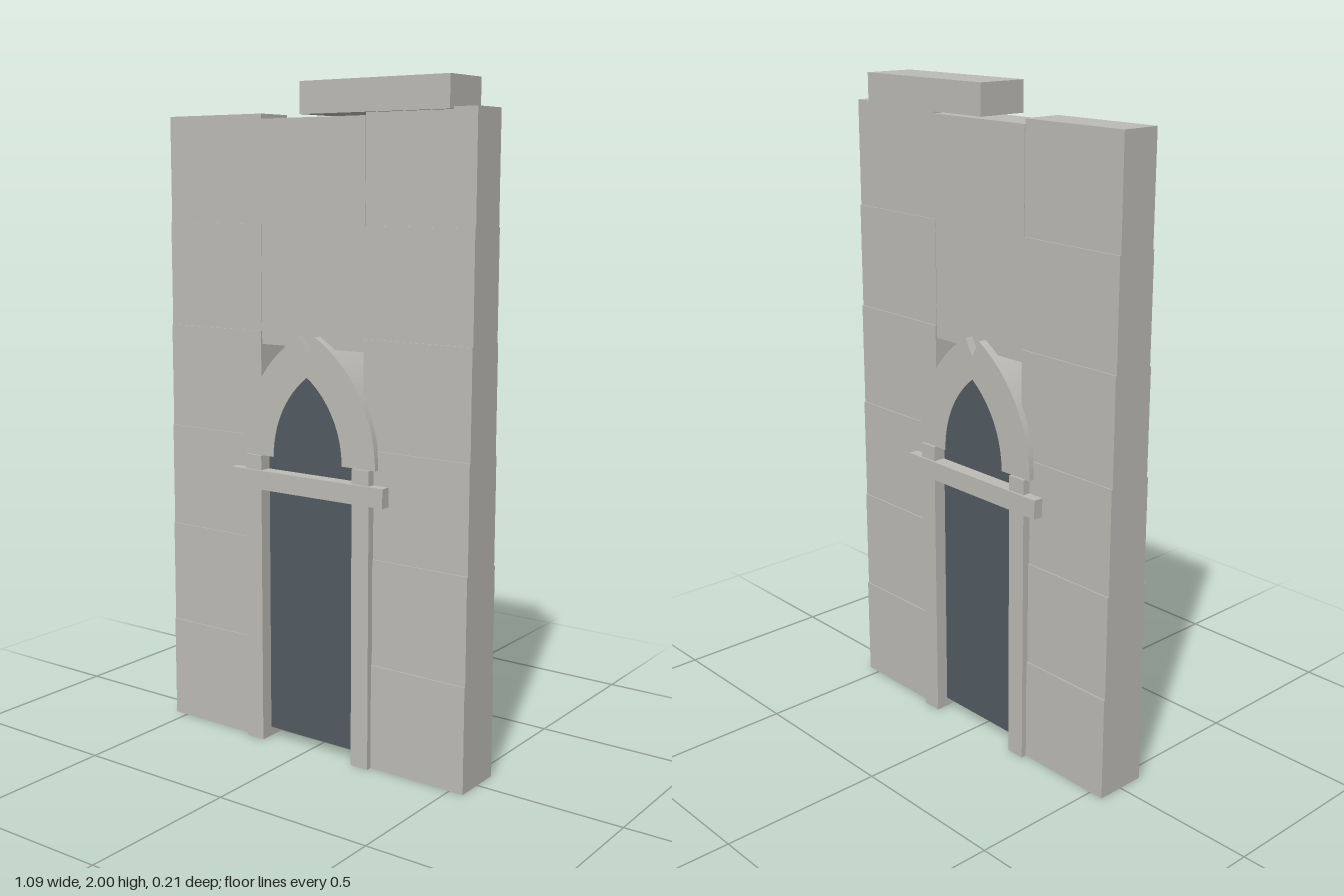
import * as THREE from 'three';

const stone = new THREE.MeshStandardMaterial({ color: 0xbdbbb5 });
stone.name = 'stone';
const slate = new THREE.MeshStandardMaterial({ color: 0x525b62 });
slate.name = 'darkSlate';

export function createModel() {
  const model = new THREE.Group();
  model.name = 'archedDoorway';

  const add = (name, geometry, material) => {
    const mesh = new THREE.Mesh(geometry, material);
    mesh.name = name;
    model.add(mesh);
    return mesh;
  };
  // Box given by its x and y limits and its half depth
  const block = (name, x0, x1, y0, y1, halfZ, material = stone) => {
    const mesh = add(name, new THREE.BoxGeometry(x1 - x0, y1 - y0, halfZ * 2), material);
    mesh.position.set((x0 + x1) / 2, (y0 + y1) / 2, 0);
  };
  // Shape extruded evenly to both sides of z = 0
  const slab = (name, shape, halfZ, material = stone) => {
    const geometry = new THREE.ExtrudeGeometry(shape, {
      depth: halfZ * 2, bevelEnabled: false, curveSegments: 12,
    });
    geometry.translate(0, 0, -halfZ);
    add(name, geometry, material);
  };

  // Wall piers: six courses, each set back a little from the one below
  const courses = 6;
  const wallTop = 1.915;
  const courseHeight = wallTop / courses;
  for (let i = 0; i < courses; i++) {
    const y = i * courseHeight;
    const halfZ = 0.081 - i * 0.0038;
    block('leftPierCourse', 0.187, 0.545, y, y + courseHeight, halfZ);
    block('rightPierCourse', -0.545, -0.187, y, y + courseHeight, halfZ);
  }

  // Wall above the opening, and the loose coping stone
  block('lintelWall', -0.187, 0.187, 1.238, 1.9, 0.064);
  block('copingStone', -0.03, 0.47, 1.908, 2, 0.081);

  // Door posts and the crossbar
  block('leftPost', 0.167, 0.227, 0, 0.903, 0.098);
  block('rightPost', -0.227, -0.167, 0, 0.903, 0.098);
  block('crossbar', -0.279, 0.279, 0.8, 0.858, 0.105);

  // Pointed arch: two mirrored bands whose square-cut ends leave a notch
  const spring = 0.903;
  const offset = 0.185;
  const outer = 0.428;
  const inner = 0.311;
  const sweep = Math.PI / 3;
  const leftArch = new THREE.Shape();
  leftArch.absarc(-offset, spring, outer, 0, sweep, false);
  leftArch.absarc(-offset, spring, inner, sweep, 0, true);
  slab('leftArch', leftArch, 0.09);
  const rightArch = new THREE.Shape();
  rightArch.absarc(offset, spring, inner, Math.PI, Math.PI - sweep, true);
  rightArch.absarc(offset, spring, outer, Math.PI - sweep, Math.PI, false);
  slab('rightArch', rightArch, 0.09);

  // Dark door leaf, and the pointed panel that fills the arch almost flush
  block('doorLeaf', -0.165, 0.165, 0.03, spring, 0.06, slate);
  const peak = Math.acos(offset / inner);
  const head = new THREE.Shape();
  head.absarc(-offset, spring, inner, 0, peak, false);
  head.absarc(offset, spring, inner, Math.PI - peak, Math.PI, false);
  slab('archPanel', head, 0.088, slate);

  return model;
}
